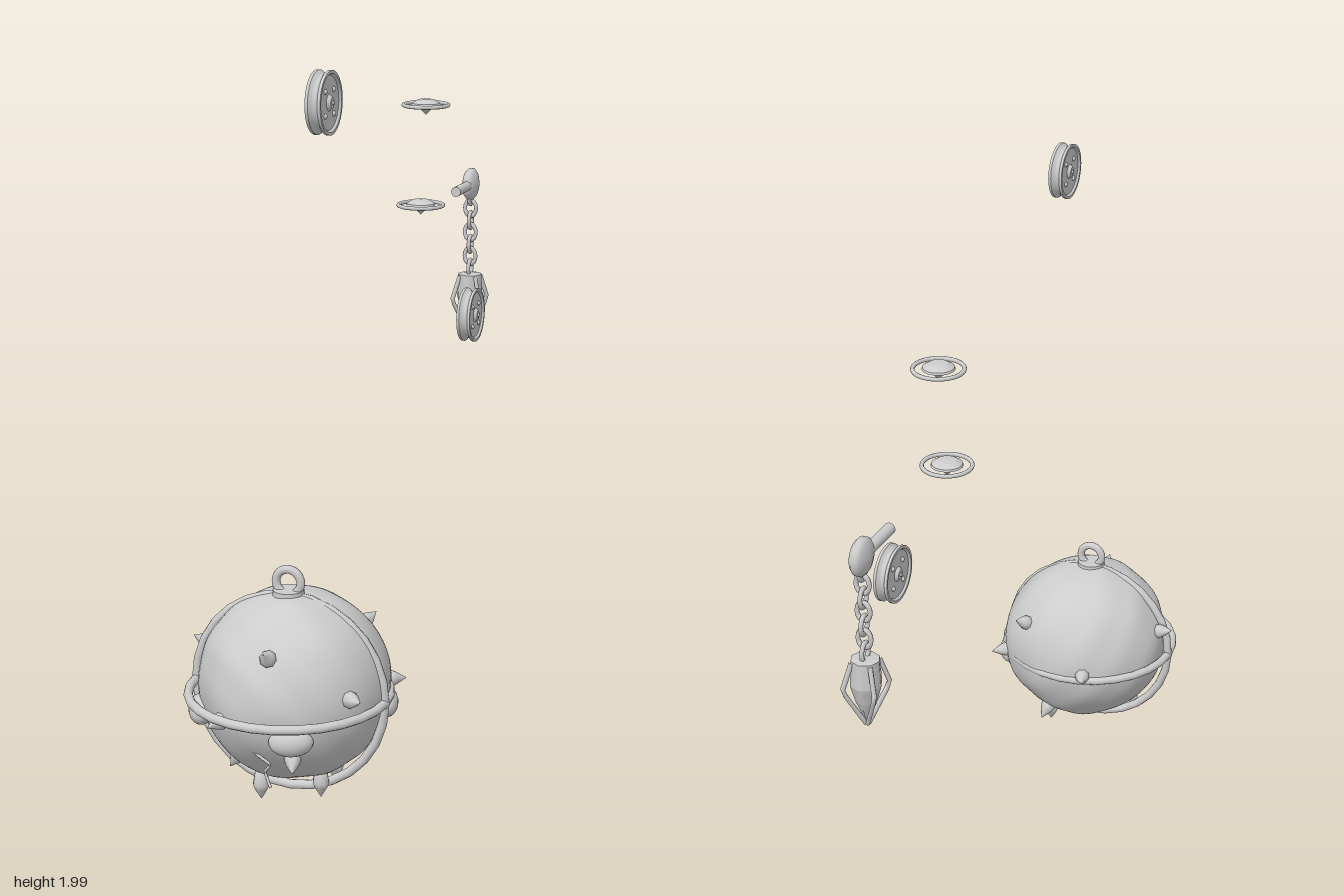
import * as THREE from 'three';

const V = (x, y, z) => new THREE.Vector3(x, y, z);
const UP = V(0, 1, 0);
const DOWN = V(0, -1, 0);

export function createModel() {
  const model = new THREE.Group();
  const grey = new THREE.MeshStandardMaterial({ color: 0xcccccc });
  grey.name = 'light iron grey';

  const add = (parent, name, geo, x = 0, y = 0, z = 0) => {
    const m = new THREE.Mesh(geo, grey);
    m.name = name;
    m.position.set(x, y, z);
    parent.add(m);
    return m;
  };
  const group = (name, x, y, z) => {
    const g = new THREE.Group();
    g.name = name;
    g.position.set(x, y, z);
    model.add(g);
    return g;
  };
  const lathe = (pts, n) => new THREE.LatheGeometry(pts.map(p => new THREE.Vector2(...p)), n);
  // Lathe with a hard edge at every profile point
  const hardLathe = (parent, name, pts, n) => {
    for (let i = 0; i < pts.length - 1; i++) add(parent, name, lathe([pts[i], pts[i + 1]], n));
  };
  // Tube along straight segments
  const rod = (pts, r, n = 6) => {
    const path = new THREE.CurvePath();
    for (let i = 0; i < pts.length - 1; i++) path.add(new THREE.LineCurve3(pts[i], pts[i + 1]));
    return new THREE.TubeGeometry(path, (pts.length - 1) * 4, r, n);
  };

  // Dented iron ball: a sphere pushed in and out by a rule
  const centre = V(0.005, 0.32, 0.695);
  const bumps = [
    [V(0.75, -0.1, -0.65), 0.01, 0.5], [V(0.1, -0.65, 0.75), -0.018, 0.45],
    [V(-0.75, -0.1, 0.65), -0.014, 0.45], [V(0.15, 0.45, 0.9), -0.007, 0.4],
    [V(-0.6, 0.4, -0.7), -0.008, 0.4], [V(-0.6, -0.6, -0.5), -0.008, 0.4],
  ].map(([d, h, w]) => [d.normalize(), h, w]);
  const ballRadius = d => {
    let r = 0.266 + 0.003 * Math.sin(9 * d.x + 4 * d.y) * Math.sin(8 * d.z - 5 * d.y + 1);
    for (const [b, h, w] of bumps) r += h * Math.exp(-d.distanceToSquared(b) / (w * w));
    return r;
  };
  const ballGeo = new THREE.SphereGeometry(1, 64, 44);
  const pos = ballGeo.attributes.position;
  for (let i = 0; i < pos.count; i++) {
    const d = V().fromBufferAttribute(pos, i).normalize();
    d.multiplyScalar(ballRadius(d));
    pos.setXYZ(i, d.x, d.y, d.z);
  }
  ballGeo.computeVertexNormals();
  const ball = group('wreckingBall', 0, 0, 0);
  add(ball, 'ballBody', ballGeo, ...centre.toArray());

  // Two crossing bands, hanging eye and its foot
  const bandGeo = new THREE.TorusGeometry(0.277, 0.013, 10, 28);
  add(ball, 'uprightBand', bandGeo, 0, 0.3, 0.71);
  add(ball, 'levelBand', bandGeo, 0, 0.3, 0.71).rotation.x = Math.PI / 2;
  add(ball, 'hangingEye', new THREE.TorusGeometry(0.036, 0.012, 10, 24), 0, 0.614, 0.71);
  add(ball, 'eyeFoot', new THREE.CylinderGeometry(0.043, 0.045, 0.03, 20), 0, 0.578, 0.71);

  // Spikes standing out of the ball
  const spikeGeo = lathe([[0, -0.03], [0.018, -0.03], [0.024, 0.005], [0.018, 0.02], [0, 0.05]], 8);
  const spikes = [
    [0.02, 0.475, 0.92], [0.23, 0.355, 0.845], [-0.115, 0.28, 0.93], [0.09, 0.17, 0.92],
    [-0.15, 0.09, 0.73], [0.07, 0.13, 0.52], [0.145, 0.445, 0.49], [-0.08, 0.32, 0.43],
    [-0.255, 0.4, 0.68], [0.23, 0.3, 0.535],
  ];
  for (const p of spikes) {
    const d = V(...p).sub(centre).normalize();
    const at = d.clone().multiplyScalar(ballRadius(d)).add(centre);
    add(ball, 'spike', spikeGeo, ...at.toArray()).quaternion.setFromUnitVectors(UP, d);
  }
  // Spikes pointing straight down
  for (const [x, z] of [[-0.05, 0.8], [0.1, 0.62], [0.1, 0.735]]) {
    add(ball, 'lowerSpike', spikeGeo, x, 0.06, z).quaternion.setFromUnitVectors(UP, DOWN);
  }

  // Rounded studs below the level band
  for (const [x, y, z] of [[0.09, 0.25, 0.93], [-0.225, 0.25, 0.8], [0.243, 0.26, 0.605]]) {
    const d = V(x, y, z).sub(centre).setY(0).normalize();
    const s = add(ball, 'stud', new THREE.SphereGeometry(1, 20, 14), x, y, z);
    s.scale.set(0.06, 0.04, 0.035);
    s.quaternion.setFromUnitVectors(V(0, 0, 1), d);
  }

  // Loose splinter on the front
  add(ball, 'splinter', rod([V(-0.03, 0.2, 0.91), V(0.03, 0.175, 0.925), V(0.01, 0.15, 0.92), V(0.035, 0.115, 0.94)], 0.004));

  // Grooved pulley wheels with dished faces, hub and four bolts
  const domeGeo = new THREE.SphereGeometry(1, 14, 10);
  for (const [x, y, z] of [[0.11, 1.917, 0.71], [0.15, 1.115, -0.465]]) {
    const wheel = group('pulley', x, y, z);
    wheel.rotation.z = -Math.PI / 2;
    hardLathe(wheel, 'pulleyFace', [[0, -0.015], [0.07, -0.015], [0.075, -0.021], [0.083, -0.021], [0.083, -0.013]], 32);
    add(wheel, 'pulleyGroove', lathe([[0.083, -0.013], [0.075, -0.006], [0.072, 0], [0.075, 0.006], [0.083, 0.013]], 32));
    hardLathe(wheel, 'pulleyFace', [[0.083, 0.013], [0.083, 0.021], [0.075, 0.021], [0.07, 0.015], [0, 0.015]], 32);
    hardLathe(wheel, 'pulleyHub', [[0, -0.024], [0.014, -0.024], [0.022, -0.015], [0.022, 0.015], [0.014, 0.024], [0, 0.024]], 16);
    add(wheel, 'pulleyAxle', domeGeo).scale.set(0.011, 0.029, 0.011);
    for (let i = 0; i < 4; i++) {
      const a = Math.PI / 4 + i * Math.PI / 2;
      add(wheel, 'pulleyBolt', domeGeo, 0.044 * Math.cos(a), 0, 0.044 * Math.sin(a)).scale.set(0.011, 0.022, 0.011);
    }
  }

  // Ringed discs with a pointed underside
  for (const [y, z] of [[1.76, -0.465], [1.458, -0.42]]) {
    const disc = group('ringedDisc', 0, y, z);
    hardLathe(disc, 'discCore', [[0, -0.03], [0.018, -0.012], [0.045, 0], [0.043, 0.006], [0.026, 0.016], [0, 0.018]], 24);
    add(disc, 'discRing', new THREE.TorusGeometry(0.069, 0.006, 8, 32)).rotation.x = Math.PI / 2;
  }

  // Lens-shaped drum with an arm
  const hook = group('chainHoist', 0, 1.44, -0.945);
  const drum = add(hook, 'drum', lathe([[0, -0.026], [0.022, -0.023], [0.042, -0.016], [0.052, -0.007],
    [0.052, 0.007], [0.042, 0.016], [0.022, 0.023], [0, 0.026]], 28));
  drum.rotation.z = Math.PI / 2;
  add(hook, 'arm', new THREE.CylinderGeometry(0.016, 0.016, 0.16, 16), 0, 0, 0.085).rotation.x = Math.PI / 2;

  // Chain of alternating links
  for (let i = 0; i < 7; i++) {
    const link = add(hook, 'chainLink', new THREE.TorusGeometry(0.019, 0.0065, 8, 16), 0, -0.04 - i * 0.04, 0);
    link.scale.y = 1.35;
    link.rotation.y = i % 2 ? 0 : Math.PI / 2;
  }

  // Harpoon head with four bent barbs
  hardLathe(hook, 'harpoonHead', [[0, -0.5], [0.03, -0.425], [0.044, -0.375], [0.04, -0.3], [0, -0.294]], 8);
  for (let i = 0; i < 4; i++) {
    const barb = add(hook, 'barb', rod([V(0.038, -0.305, 0), V(0.066, -0.385, 0), V(0.004, -0.496, 0)], 0.007));
    barb.rotation.y = Math.PI / 4 + i * Math.PI / 2;
  }
  return model;
}
